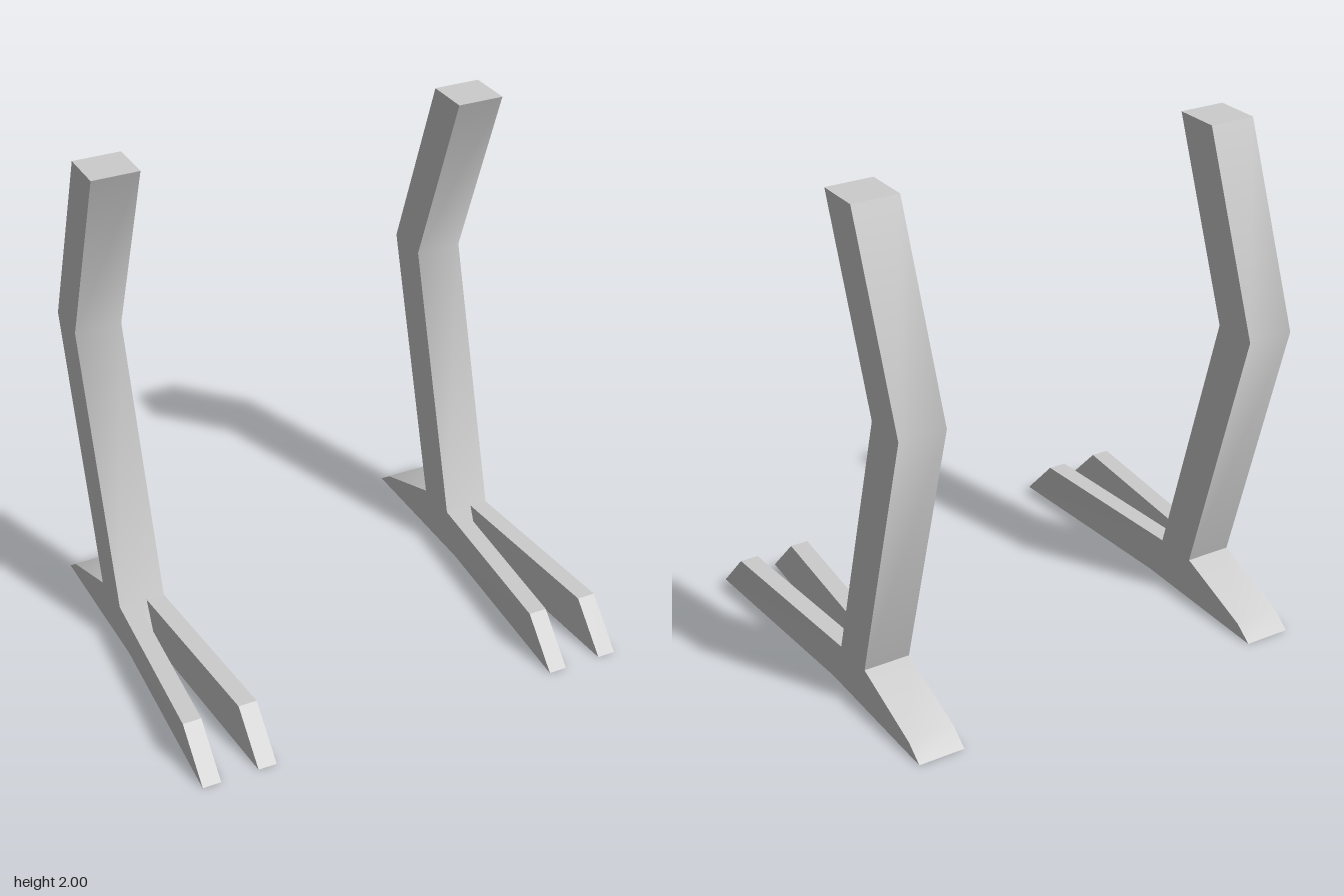
import * as THREE from 'three';
import { toCreasedNormals } from 'three/addons/utils/BufferGeometryUtils.js';

const material = new THREE.MeshStandardMaterial({ color: 0xcccccc });
const LEG_WIDTH = 0.186, TOE_WIDTH = 0.073, TOE_HEIGHT = 0.173;

// Shank, ankle and heel: one side profile (z, y) extruded across x
function legGeometry() {
  const profile = [
    [-0.09, 0], [-0.168, TOE_HEIGHT], [-0.47, 1.25], [-0.184, 2],
    [-0.368, 2], [-0.654, 1.25], [-0.35, TOE_HEIGHT], [-0.676, 0.053], [-0.748, 0],
  ];
  const shape = new THREE.Shape(profile.map(([z, y]) => new THREE.Vector2(-z, y)));
  const geometry = new THREE.ExtrudeGeometry(shape, { depth: LEG_WIDTH, bevelEnabled: false });
  geometry.translate(0, 0, -LEG_WIDTH / 2);
  geometry.rotateY(Math.PI / 2);
  return toCreasedNormals(geometry, 0.72);
}

// Toe: a box splayed outwards, with sloping back and tip
function toeGeometry(side) {
  const geometry = new THREE.BoxGeometry(1, 1, 1).toNonIndexed();
  const p = geometry.attributes.position;
  for (let i = 0; i < p.count; i++) {
    const top = p.getY(i) > 0, front = p.getZ(i) > 0;
    const centre = side * (front ? 0.111 : 0.0565);
    const z = front ? (top ? 0.585 : 0.752) : (top ? -0.168 : -0.09);
    p.setXYZ(i, centre + p.getX(i) * TOE_WIDTH, top ? TOE_HEIGHT : 0, z);
  }
  geometry.computeVertexNormals();
  return geometry;
}

function addPart(parent, name, geometry) {
  const mesh = new THREE.Mesh(geometry, material);
  mesh.name = name;
  parent.add(mesh);
}

export function createModel() {
  const model = new THREE.Group();
  model.name = 'legs';
  for (const side of [-1, 1]) {
    const leg = new THREE.Group();
    leg.name = side > 0 ? 'leftLeg' : 'rightLeg';
    leg.position.x = side * 0.733;
    addPart(leg, 'shankAndHeel', legGeometry());
    addPart(leg, 'leftToe', toeGeometry(1));
    addPart(leg, 'rightToe', toeGeometry(-1));
    model.add(leg);
  }
  return model;
}
